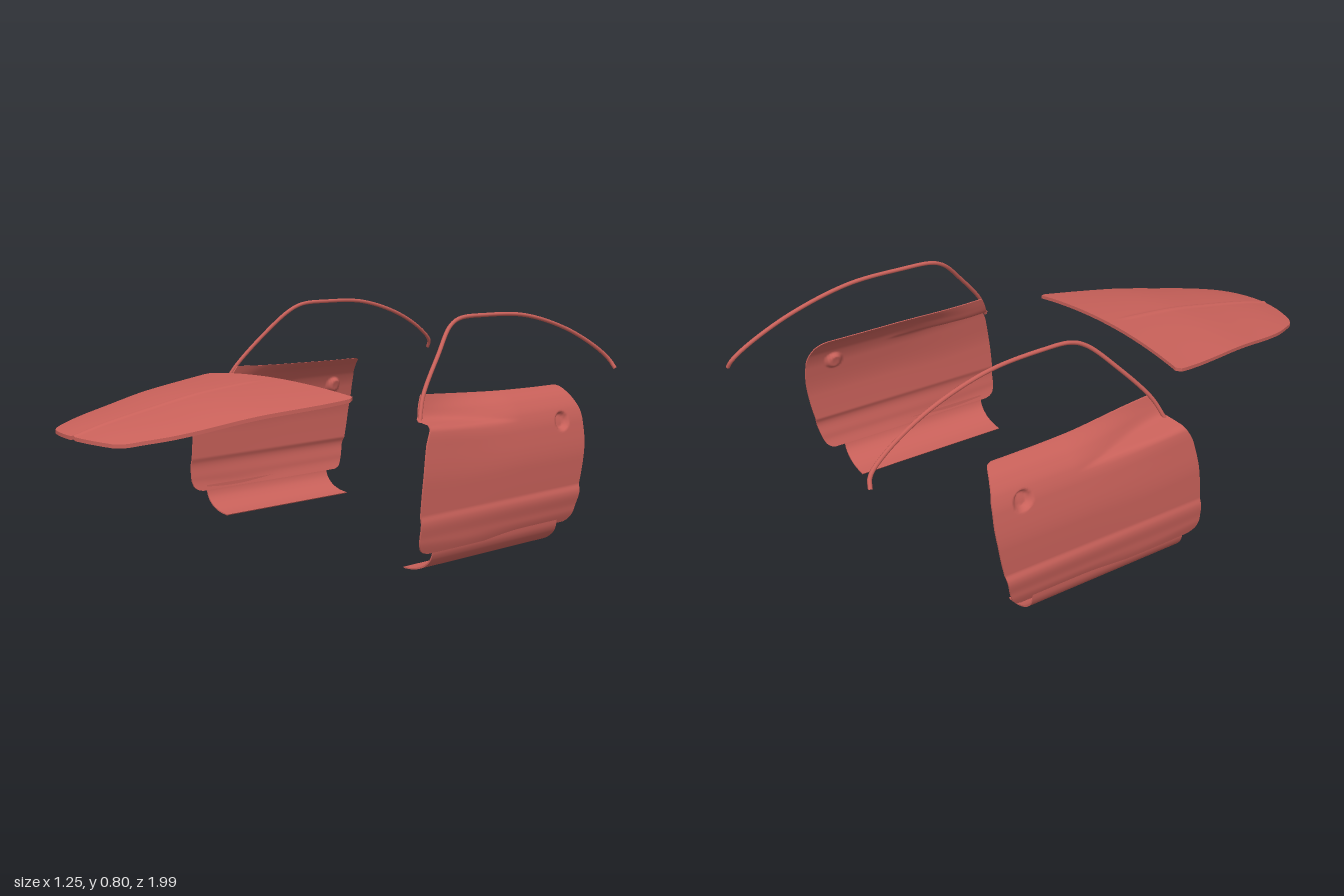
import * as THREE from 'three';

const paint = new THREE.MeshStandardMaterial({ color: 0xc9615a, side: THREE.DoubleSide });

// Smooth monotone interpolation through [key, value] points
function curve(pts) {
  const sec = pts.slice(1).map((p, i) => (p[1] - pts[i][1]) / (p[0] - pts[i][0]));
  const tan = pts.map((_, i) => {
    const a = sec[Math.max(i - 1, 0)], b = sec[Math.min(i, sec.length - 1)];
    return a * b <= 0 ? 0 : (2 * a * b) / (a + b);
  });
  return (k) => {
    k = THREE.MathUtils.clamp(k, pts[0][0], pts[pts.length - 1][0]);
    let i = 0;
    while (i < pts.length - 2 && k > pts[i + 1][0]) i++;
    const h = pts[i + 1][0] - pts[i][0], t = (k - pts[i][0]) / h, t2 = t * t, t3 = t2 * t;
    return (2 * t3 - 3 * t2 + 1) * pts[i][1] + (t3 - 2 * t2 + t) * h * tan[i]
      + (3 * t2 - 2 * t3) * pts[i + 1][1] + (t3 - t2) * h * tan[i + 1];
  };
}

// Closed sheet: surface f(u, v), its offset copy, and an edge joining them
function sheet(f, nu, nv, offset) {
  const pos = [], idx = [];
  const point = (i, j, k) => f(i / nu, j / nv).map((c, n) => c + k * offset[n]);
  for (const layer of [0, 1]) {
    const base = pos.length / 3;
    for (let j = 0; j <= nv; j++) for (let i = 0; i <= nu; i++) pos.push(...point(i, j, layer));
    for (let j = 0; j < nv; j++) for (let i = 0; i < nu; i++) {
      const a = base + j * (nu + 1) + i, b = a + 1, c = a + nu + 1, d = c + 1;
      if (layer) idx.push(a, b, c, b, d, c);
      else idx.push(a, c, b, b, c, d);
    }
  }
  const rim = [];
  for (let i = 0; i < nu; i++) rim.push([i, 0]);
  for (let j = 0; j < nv; j++) rim.push([nu, j]);
  for (let i = nu; i > 0; i--) rim.push([i, nv]);
  for (let j = nv; j > 0; j--) rim.push([0, j]);
  rim.forEach((p, n) => {
    const q = rim[(n + 1) % rim.length], a = pos.length / 3;
    pos.push(...point(...p, 0), ...point(...q, 0), ...point(...p, 1), ...point(...q, 1));
    idx.push(a, a + 1, a + 2, a + 1, a + 3, a + 2);
  });
  const g = new THREE.BufferGeometry();
  g.setAttribute('position', new THREE.Float32BufferAttribute(pos, 3));
  g.setIndex(idx);
  g.computeVertexNormals();
  return g;
}

// Mirror a left-side surface for the right side
const sided = (f, s) => (s > 0 ? f : (u, v) => {
  const [x, y, z] = f(1 - u, v);
  return [-x, y, z];
});

// Hood: tapering, cambered, with a fine centre crease
const hoodWidth = curve([[0, 0.383], [0.02, 0.394], [0.1, 0.387], [0.25, 0.365], [0.54, 0.312],
  [0.79, 0.264], [0.92, 0.22], [0.97, 0.198], [1, 0.17]]);
const hoodHeight = curve([[0.2, 0.591], [0.5, 0.568], [0.72, 0.533], [0.88, 0.503], [1, 0.473]]);
function hood(u, v) {
  const s = 2 * u - 1, x = s * hoodWidth(v);
  const z = THREE.MathUtils.lerp(0.225 - 0.015 * s * s, 0.99 - 0.035 * s * s, v);
  const camber = THREE.MathUtils.lerp(0.17, 0.45, v);
  const crease = 0.004 * Math.max(0, 1 - Math.abs(x) / 0.012) * THREE.MathUtils.smoothstep(z, 0.26, 0.34);
  return [x, hoodHeight(z) - camber * x * x + crease, z];
}

// Door: outline front/back edges and two cross-sections blended along z
const doorFront = curve([[0.08, 0.09], [0.085, 0.11], [0.1, 0.128], [0.13, 0.135], [0.27, 0.127],
  [0.42, 0.1], [0.47, 0.076], [0.49, 0.062], [0.5, 0.044], [0.53, 0.03], [0.565, 0.01]]);
const doorBack = curve([[0.08, -0.57], [0.085, -0.587], [0.1, -0.603], [0.13, -0.615], [0.2, -0.632],
  [0.3, -0.652], [0.4, -0.663], [0.46, -0.662], [0.51, -0.65], [0.545, -0.636], [0.56, -0.625], [0.565, -0.61]]);
const sectionFront = curve([[0.07, 0.607], [0.12, 0.617], [0.3, 0.619], [0.42, 0.608], [0.465, 0.6],
  [0.48, 0.585], [0.488, 0.53], [0.5, 0.513], [0.53, 0.5], [0.57, 0.488]]);
const sectionBack = curve([[0.07, 0.602], [0.12, 0.615], [0.3, 0.619], [0.42, 0.604], [0.47, 0.588],
  [0.51, 0.56], [0.55, 0.515], [0.57, 0.5]]);
const ridge = curve([[0.08, 0], [0.13, 0.3], [0.175, 1], [0.185, 0.9], [0.205, 0]]);
function door(u, v) {
  const k = 0.08 + 0.485 * v;
  const z = THREE.MathUtils.lerp(doorBack(k), doorFront(k), u);
  const top = 0.545 + 0.02 * THREE.MathUtils.clamp((z + 0.62) / 0.63, 0, 1) ** 2;
  const y = 0.08 + (top - 0.08) * v;
  const blend = THREE.MathUtils.smoothstep(z, -0.36, 0.03);
  let x = THREE.MathUtils.lerp(sectionBack(y), sectionFront(y - 0.07 * (z - 0.04)), blend);
  x += ridge(y) * THREE.MathUtils.lerp(0.009, 0.006, u);
  // Round recess near the rear edge
  const r = Math.hypot(z + 0.555, y - 0.432);
  x -= 0.018 * (1 - THREE.MathUtils.smoothstep(r, 0.02, 0.034));
  return [x, y, z];
}

// Sill: a curled strip beneath the door
const sillCurve = new THREE.SplineCurve([[0.48, 0.003], [0.525, 0.008], [0.565, 0.022], [0.594, 0.045],
  [0.607, 0.07], [0.61, 0.095]].map((p) => new THREE.Vector2(...p)));
function sill(u, v) {
  const p = sillCurve.getPoint(v);
  return [p.x, p.y, THREE.MathUtils.lerp(-0.53, 0.07, u)];
}

// Roof trim path along the side window
const trimPoints = [[0.523, 0.485, 0.05], [0.498, 0.56, 0.012], [0.455, 0.685, -0.1], [0.42, 0.764, -0.185],
  [0.411, 0.788, -0.24], [0.411, 0.793, -0.36], [0.421, 0.782, -0.56], [0.435, 0.722, -0.77],
  [0.454, 0.642, -0.925], [0.468, 0.596, -0.98], [0.485, 0.568, -0.99]];

export function createModel() {
  const model = new THREE.Group();
  const add = (geometry, name) => {
    const mesh = new THREE.Mesh(geometry, paint);
    mesh.name = name;
    model.add(mesh);
  };
  add(sheet(hood, 80, 40, [0, -0.012, 0]), 'hood');
  for (const s of [1, -1]) {
    const side = s > 0 ? 'left' : 'right';
    add(sheet(sided(door, s), 90, 100, [-0.006 * s, 0, 0]), side + 'Door');
    add(sheet(sided(sill, s), 1, 24, [-0.003 * s, 0.004, 0]), side + 'Sill');
    const path = new THREE.CatmullRomCurve3(trimPoints.map(([x, y, z]) => new THREE.Vector3(x * s, y, z)));
    add(new THREE.TubeGeometry(path, 90, 0.007, 8), side + 'RoofTrim');
  }
  return model;
}
